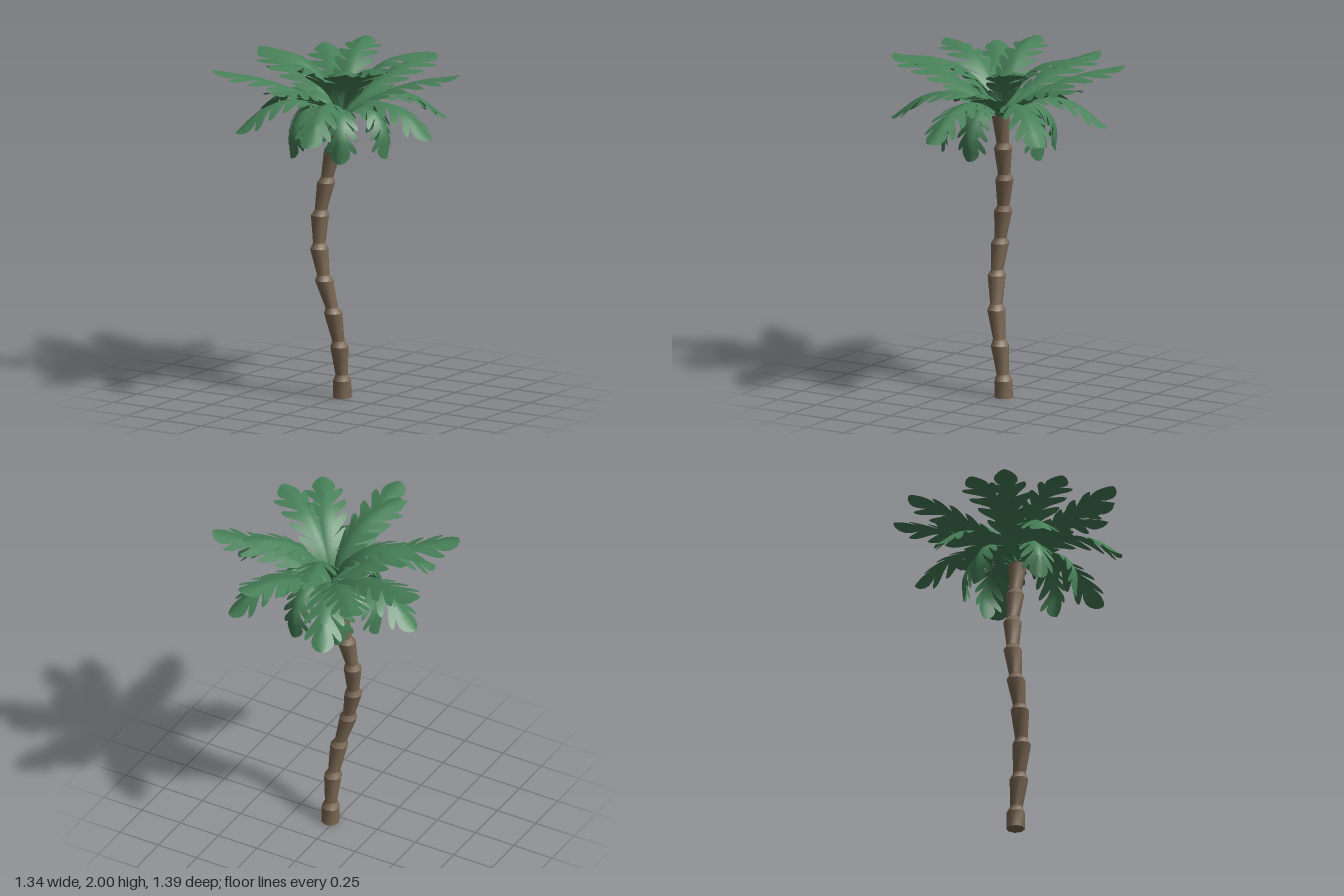
import * as THREE from 'three';
import { mergeGeometries, mergeVertices } from 'three/addons/utils/BufferGeometryUtils.js';

const leafMat = new THREE.MeshStandardMaterial({ color: 0x478058, side: THREE.DoubleSide });
const barkMat = new THREE.MeshStandardMaterial({ color: 0x7a6753 });
const crown = new THREE.Vector3(0.035, 0, -0.03);

// Grid of points from fn(i, j), i < rows, j < cols
function grid(rows, cols, fn, flip = false) {
  const pos = [], idx = [];
  for (let i = 0; i < rows; i++) for (let j = 0; j < cols; j++) pos.push(...fn(i, j).toArray());
  for (let i = 0; i < rows - 1; i++) for (let j = 0; j < cols - 1; j++) {
    const a = i * cols + j, b = a + cols, c = a + 1, d = b + 1;
    if (flip) idx.push(a, b, c, c, b, d);
    else idx.push(a, c, b, c, d, b);
  }
  const g = new THREE.BufferGeometry();
  g.setAttribute('position', new THREE.Float32BufferAttribute(pos, 3));
  g.setIndex(idx);
  return g;
}

// Trunk: stacked flaring segments along a leaning S-curve, smooth around and creased at each rim
function makeTrunk() {
  const sides = 8, rim = 0.053, neck = 0.036;
  const nodes = [ // x, y, z of each flared rim
    [0.024, 0.1, -0.053], [0.022, 0.3, -0.028], [0.003, 0.5, 0.008], [-0.042, 0.69, 0.033],
    [-0.076, 0.87, 0.032], [-0.082, 1.06, 0.014], [-0.056, 1.25, -0.01], [-0.018, 1.44, -0.024],
    [0.015, 1.64, -0.03],
  ];
  const rings = [[0.024, 0, -0.055, rim]];
  nodes.forEach(([x, y, z], k) => {
    rings.push([x, y, z, rim]);
    const n = nodes[k + 1], t = 0.17; // narrow neck just above the rim
    if (n) rings.push([x + (n[0] - x) * t, y + (n[1] - y) * t, z + (n[2] - z) * t, neck]);
  });
  const bands = rings.slice(1).map((upper, k) => {
    const band = mergeVertices(grid(2, sides + 1, (i, j) => {
      const [x, y, z, r] = i ? upper : rings[k], a = (j / sides) * Math.PI * 2;
      return new THREE.Vector3(x + r * Math.cos(a), y, z + r * Math.sin(a));
    }, true));
    band.computeVertexNormals();
    return band;
  });
  const trunk = new THREE.Group();
  trunk.name = 'trunk';
  const bark = new THREE.Mesh(mergeGeometries(bands), barkMat);
  bark.name = 'trunkSegments';
  const base = new THREE.Mesh(new THREE.CircleGeometry(rim, sides), barkMat);
  base.name = 'trunkBase';
  base.rotation.x = Math.PI / 2;
  base.position.set(0.024, 0, -0.055);
  trunk.add(bark, base);
  return trunk;
}

// Frond: folded blade with forward-swept lobes and a paddle tip, bent along a spine of [reach, height]
function makeFrond(spine, angleDeg, scale, width, fold) {
  const curve = new THREE.CatmullRomCurve3(spine.map(([r, y]) => new THREE.Vector3(r * scale, y, 0)));
  const length = curve.getLength();
  const a = THREE.MathUtils.degToRad(angleDeg);
  const place = (s, w) => {
    const u = Math.min(s, 1), p = curve.getPointAt(u), t = curve.getTangentAt(u);
    const drop = Math.abs(w) * Math.sin(fold);
    const r = p.x + t.y * drop, y = p.y - t.x * drop, side = w * Math.cos(fold);
    return new THREE.Vector3(
      crown.x + r * Math.cos(a) - side * Math.sin(a), y,
      crown.z + r * Math.sin(a) + side * Math.cos(a));
  };
  const parts = [];
  const lobes = 5, start = 0.06, end = 0.76, sweep = (1.25 * width) / length;
  const halfWidth = (s) => width * (0.55 + 0.62 * Math.sin(Math.PI * s));
  const rows = [[0, 1], [0.25, 1], [0.55, 0.78], [0.82, 0.62], [0.95, 0.45], [1, 0.15]]; // outward position, breadth
  const paddle = [[0.76, 0.27], [0.81, 0.36], [0.86, 0.58], [0.91, 0.66], [0.95, 0.58], [0.985, 0.36], [1, 0.14]];
  for (const side of [1, -1]) {
    for (let k = 0; k < lobes; k++) {
      const gap = (end - start) / lobes, mid = start + gap * (k + 0.5);
      parts.push(grid(3, rows.length, (i, j) => {
        const [v, f] = rows[j], along = (i - 1) * gap * 0.5;
        return place(mid + along * f + sweep * v, side * v * halfWidth(v > 0.3 ? mid : mid + along));
      }, side < 0));
    }
    // Stalk
    parts.push(grid(2, 2, (i, j) => place(i * start, side * j * 0.013), side < 0));
    // Paddle tip
    parts.push(grid(paddle.length, 3, (i, j) =>
      place(paddle[i][0], side * (j / 2) * paddle[i][1] * width), side < 0));
  }
  const g = mergeVertices(mergeGeometries(parts), 1e-4);
  g.computeVertexNormals();
  return new THREE.Mesh(g, leafMat);
}

// Frond tiers: spine, blade width, fold and [angle, scale] of each frond
const tiers = [
  { name: 'topFronds', width: 0.105, fold: 0.3,
    spine: [[0, 1.62], [0.075, 1.8], [0.23, 1.945], [0.38, 1.99], [0.52, 2]],
    fronds: [[29, 1.02], [55, 1.02], [112, 0.98], [173, 1], [254, 1], [319, 0.98]] },
  { name: 'upperFronds', width: 0.108, fold: 0.27,
    spine: [[0, 1.63], [0.2, 1.77], [0.45, 1.865], [0.71, 1.91]],
    fronds: [[-20, 0.96], [93, 1.02], [147, 1.03], [199, 1.03], [230, 1.01], [287, 0.98]] },
  { name: 'middleFronds', width: 0.105, fold: 0.32,
    spine: [[0, 1.64], [0.2, 1.76], [0.43, 1.735], [0.63, 1.59]],
    fronds: [[6, 1.02], [75, 1.01], [128, 1.01], [190, 0.99], [245, 0.98], [307, 1]] },
  { name: 'lowerFronds', width: 0.095, fold: 0.4,
    spine: [[0, 1.62], [0.12, 1.715], [0.25, 1.69], [0.325, 1.58], [0.325, 1.43]],
    fronds: [[2, 0.95], [59, 1], [120, 1], [188, 1.04], [233, 1], [282, 1]] },
];

export function createModel() {
  const model = new THREE.Group();
  model.name = 'palmTree';
  model.add(makeTrunk());
  for (const { name, spine, width, fold, fronds } of tiers) {
    const tier = new THREE.Group();
    tier.name = name;
    fronds.forEach(([angle, scale], i) => {
      const frond = makeFrond(spine, angle, scale, width, fold);
      frond.name = `frond${i + 1}`;
      tier.add(frond);
    });
    model.add(tier);
  }
  return model;
}
